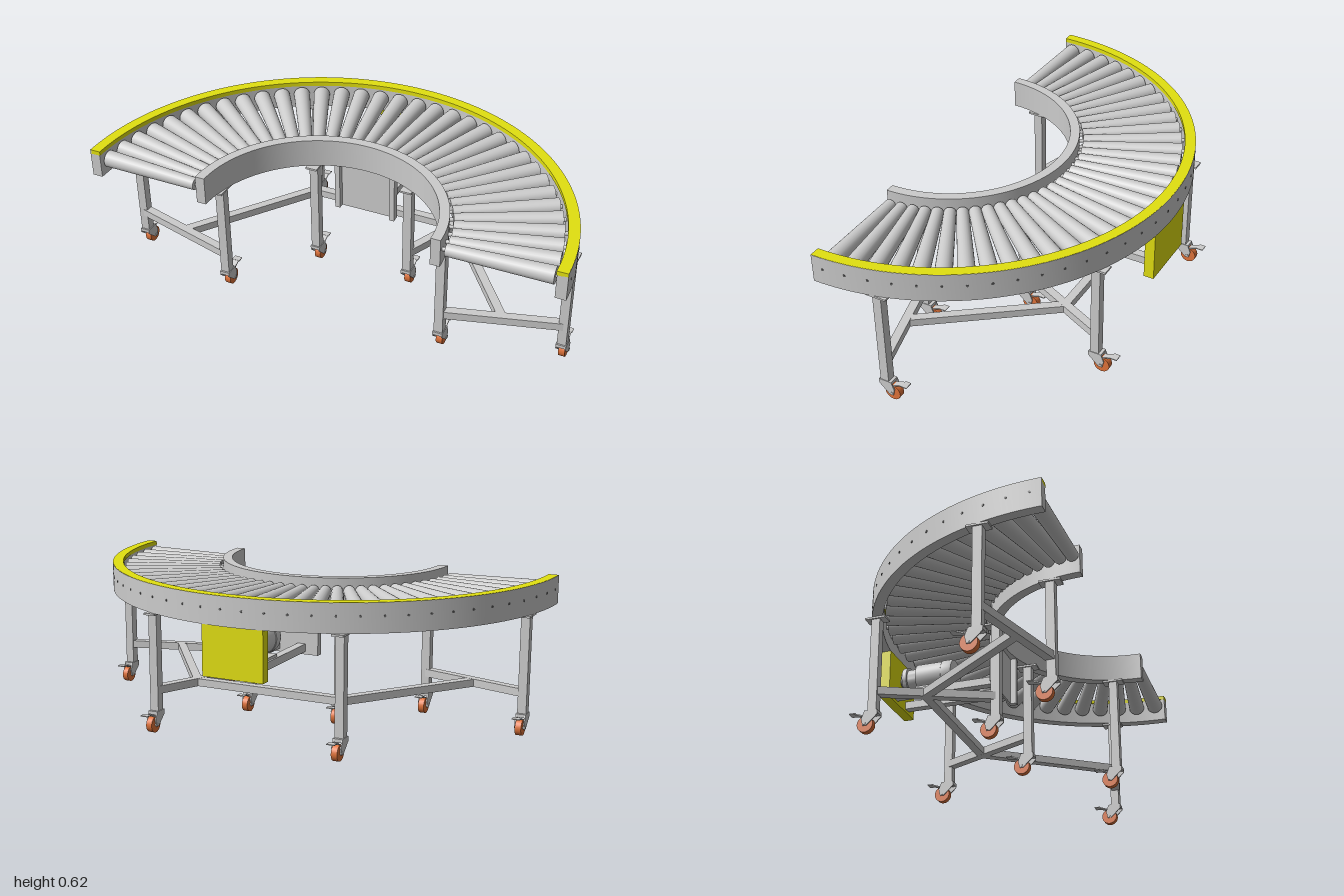
import * as THREE from 'three';
import { toCreasedNormals } from 'three/addons/utils/BufferGeometryUtils.js';

const grey = new THREE.MeshStandardMaterial({ color: 0xcccccc });
const yellow = new THREE.MeshStandardMaterial({ color: 0xe2e010 });
const orange = new THREE.MeshStandardMaterial({ color: 0xe0733a });
const dark = new THREE.MeshStandardMaterial({ color: 0x666666 });
const CZ = 0.5; // z of the bend centre

function add(parent, name, geo, mat, x = 0, y = 0, z = 0) {
  const m = new THREE.Mesh(geo, mat);
  m.name = name;
  m.position.set(x, y, z);
  parent.add(m);
  return m;
}

const box = (w, h, d) => new THREE.BoxGeometry(w, h, d);

// Cylinder lying along z; r1 is the radius at the +z end
const rodZ = (r1, r2, len, seg = 24) =>
  new THREE.CylinderGeometry(r1, r2, len, seg).rotateX(Math.PI / 2);

// Half ring around the bend centre
function halfRing(r0, r1, y0, y1) {
  const s = new THREE.Shape();
  s.absarc(0, 0, r1, 0, Math.PI, false);
  s.absarc(0, 0, r0, Math.PI, 0, true);
  const g = new THREE.ExtrudeGeometry(s, { depth: y1 - y0, bevelEnabled: false, curveSegments: 72 });
  g.rotateX(-Math.PI / 2).translate(0, y0, CZ);
  return toCreasedNormals(g, 0.5);
}

// Square tube between two floor points [x, z]
function beam(parent, name, a, b, y, h = 0.033, w = 0.036) {
  const dx = b[0] - a[0], dz = b[1] - a[1];
  const m = add(parent, name, box(w, h, Math.hypot(dx, dz)), grey, (a[0] + b[0]) / 2, y, (a[1] + b[1]) / 2);
  m.rotation.y = Math.atan2(dx, dz);
}

// Swivel caster with brake pedal, trailing towards -z
function caster() {
  const g = new THREE.Group();
  g.name = 'caster';
  add(g, 'wheel', new THREE.CylinderGeometry(0.034, 0.034, 0.026, 28).rotateZ(Math.PI / 2), orange, 0, 0.034, -0.03);
  add(g, 'axle', new THREE.CylinderGeometry(0.007, 0.007, 0.046, 12).rotateZ(Math.PI / 2), grey, 0, 0.034, -0.03);
  const s = new THREE.Shape([[-0.025, 0.088], [-0.025, 0.068], [0.02, 0.026], [0.036, 0.026], [0.043, 0.055], [0.03, 0.088]]
    .map(p => new THREE.Vector2(...p)));
  const plate = new THREE.ExtrudeGeometry(s, { depth: 0.005, bevelEnabled: false }).rotateY(Math.PI / 2);
  for (const x of [-0.021, 0.016]) add(g, 'forkPlate', plate, grey, x);
  add(g, 'forkTop', box(0.042, 0.014, 0.056), grey, 0, 0.081, -0.003);
  add(g, 'pedalArm', box(0.026, 0.005, 0.045), grey, 0, 0.076, -0.055).rotation.x = 0.35;
  add(g, 'pedal', box(0.034, 0.004, 0.026), grey, 0, 0.084, -0.085);
  return g;
}

function leg(x, z) {
  const g = new THREE.Group();
  g.name = 'leg';
  g.position.set(x, 0, z);
  add(g, 'post', box(0.037, 0.41, 0.037), grey, 0, 0.29, 0);
  add(g, 'mountPlate', box(0.05, 0.008, 0.088), grey, 0, 0.496, 0);
  g.add(caster());
  return g;
}

export function createModel() {
  const root = new THREE.Group();
  root.name = 'curvedRollerConveyor';

  // Side rails and yellow guard strip
  add(root, 'outerRail', halfRing(0.957, 0.998, 0.5, 0.605), grey);
  add(root, 'outerRailSkin', halfRing(0.995, 1.0, 0.5, 0.619), grey);
  add(root, 'guardStrip', halfRing(0.955, 0.999, 0.602, 0.62), yellow);
  add(root, 'innerRail', halfRing(0.475, 0.515, 0.5, 0.62), grey);

  // Tapered rollers with shafts and end bolts
  const count = 34;
  const rollerGeo = rodZ(0.035, 0.025, 0.415);
  const shaftGeo = rodZ(0.008, 0.008, 0.46, 10);
  const boltGeo = rodZ(0.005, 0.005, 0.006, 10);
  for (let i = 0; i < count; i++) {
    const g = new THREE.Group();
    g.name = 'roller';
    g.position.set(0, 0.567, CZ);
    g.rotation.y = Math.PI / 2 + ((i + 0.5) / count) * Math.PI;
    add(g, 'rollerTube', rollerGeo, grey, 0, 0, 0.7375);
    add(g, 'rollerShaft', shaftGeo, grey, 0, 0, 0.735);
    add(g, 'rollerBolt', boltGeo, dark, 0, 0, 0.999);
    root.add(g);
  }

  // Legs and lower bracing, mirrored left and right
  const barY = 0.174;
  for (const s of [1, -1]) {
    const frame = new THREE.Group();
    frame.name = s > 0 ? 'leftStand' : 'rightStand';
    const endOuter = [s * 0.945, 0.246], endInner = [s * 0.478, 0.372];
    const backOuter = [s * 0.415, -0.384], backInner = [s * 0.21, 0.057];
    for (const p of [endOuter, endInner, backOuter, backInner]) frame.add(leg(...p));
    beam(frame, 'endCrossbar', endOuter, endInner, barY);
    beam(frame, 'backCrossbar', backOuter, backInner, barY);
    beam(frame, 'linkBar', [s * 0.71, 0.309], [s * 0.33, -0.198], barY, 0.032);
    root.add(frame);
  }
  beam(root, 'backLinkBar', [-0.33, -0.198], [0.33, -0.198], barY, 0.032);

  // Drive: hanging channel, chain guard, support tubes and motor
  const drive = new THREE.Group();
  drive.name = 'drive';
  add(drive, 'hangerPlate', box(0.268, 0.21, 0.008), grey, 0, 0.395, 0.004);
  for (const x of [-0.123, 0.123]) add(drive, 'hangerFlange', box(0.022, 0.21, 0.025), grey, x, 0.395, 0.0205);
  add(drive, 'chainGuard', box(0.268, 0.212, 0.043), yellow, 0, 0.395, -0.4685);
  for (const x of [-0.06, 0.06]) beam(drive, 'motorRail', [x, 0], [x, -0.448], 0.319);
  add(drive, 'motorFoot', box(0.14, 0.012, 0.11), grey, 0, 0.341, -0.3);
  // Motor profile: radius and distance along the axis
  const profile = [[0, 0], [0.056, 0], [0.065, 0.004], [0.069, 0.014], [0.069, 0.048], [0.066, 0.05], [0.066, 0.165],
    [0.05, 0.167], [0.05, 0.208], [0.06, 0.209], [0.06, 0.228], [0.045, 0.23], [0.045, 0.238], [0.02, 0.239], [0.02, 0.252], [0, 0.252]];
  const motorGeo = new THREE.LatheGeometry(profile.map(p => new THREE.Vector2(...p)), 36).rotateX(-Math.PI / 2);
  add(drive, 'motor', toCreasedNormals(motorGeo, 0.6), grey, 0, 0.407, -0.197);
  root.add(drive);

  return root;
}
